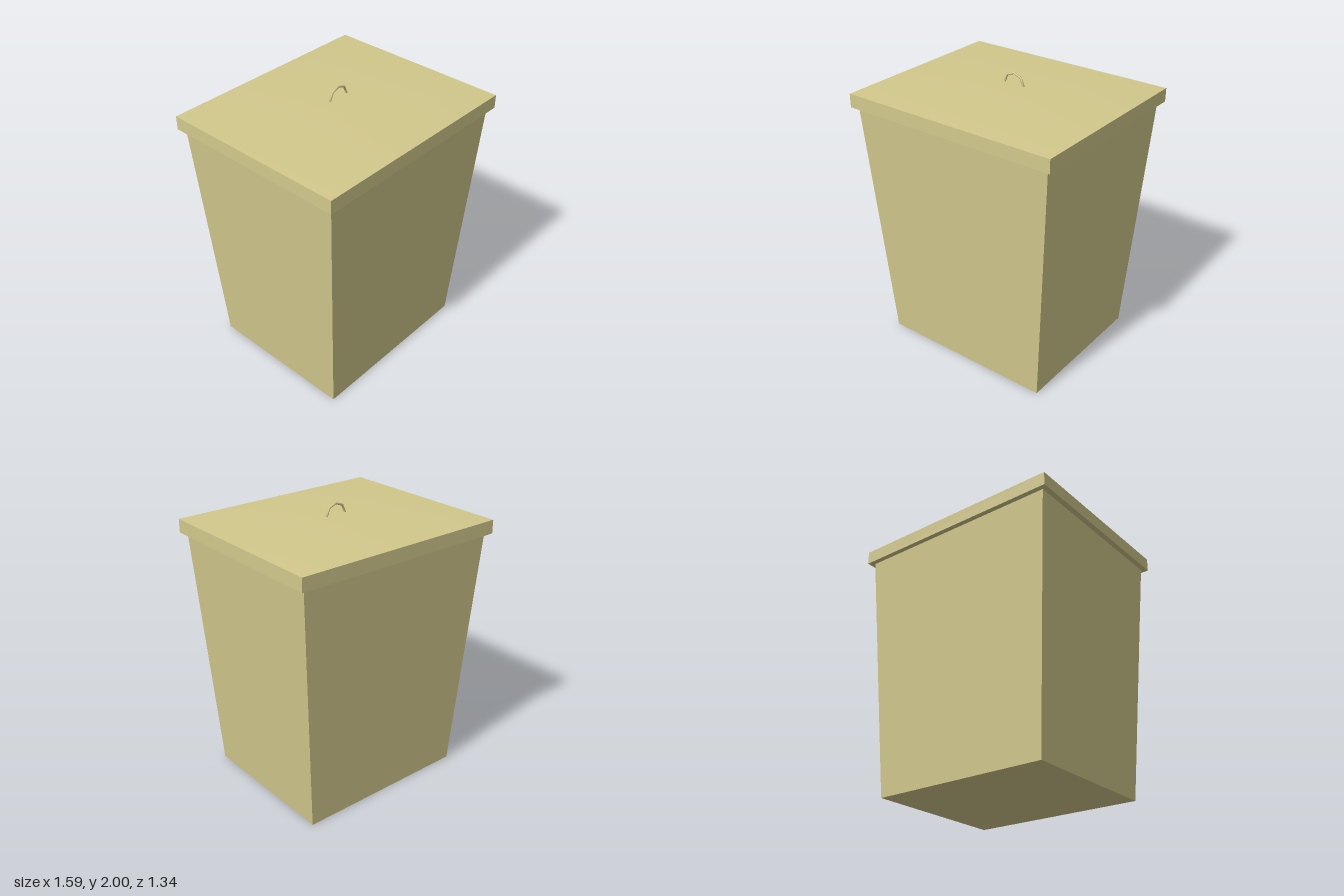
import * as THREE from 'three';

const material = new THREE.MeshStandardMaterial({ color: 0xd2c88c });

function addPart(group, name, geometry, x = 0, y = 0, z = 0) {
  const mesh = new THREE.Mesh(geometry, material);
  mesh.name = name;
  mesh.position.set(x, y, z);
  group.add(mesh);
}

// Box standing on y = 0 whose bottom is scaled relative to its top
function taperedBox(width, height, depth, bottomX, bottomZ) {
  const geometry = new THREE.BoxGeometry(width, height, depth).translate(0, height / 2, 0);
  const p = geometry.attributes.position;
  for (let i = 0; i < p.count; i++) {
    if (p.getY(i) < height / 2) p.setXYZ(i, p.getX(i) * bottomX / width, 0, p.getZ(i) * bottomZ / depth);
  }
  geometry.computeVertexNormals();
  return geometry;
}

// Shallow four-sided roof with softly blended normals
function lowPyramid(width, rise, depth) {
  const x = width / 2, z = depth / 2;
  const geometry = new THREE.BufferGeometry();
  geometry.setAttribute('position', new THREE.Float32BufferAttribute(
    [0, rise, 0, -x, 0, z, x, 0, z, x, 0, -z, -x, 0, -z], 3));
  geometry.setIndex([0, 1, 2, 0, 2, 3, 0, 3, 4, 0, 4, 1]);
  geometry.computeVertexNormals();
  return geometry;
}

export function createModel() {
  const group = new THREE.Group();
  group.name = 'liddedBin';

  // Tapered container
  addPart(group, 'body', taperedBox(1.52, 1.79, 1.27, 1.285, 1.07));

  // Overhanging lid with a slightly peaked top
  addPart(group, 'lidRim', new THREE.BoxGeometry(1.594, 0.095, 1.34), 0, 1.8225, 0);
  addPart(group, 'lidTop', lowPyramid(1.594, 0.05, 1.34), 0, 1.87, 0);

  // Small faceted loop, set a little off centre
  addPart(group, 'handle', new THREE.TorusGeometry(0.078, 0.008, 8, 4, Math.PI), 0.02, 1.914, -0.025);

  return group;
}
